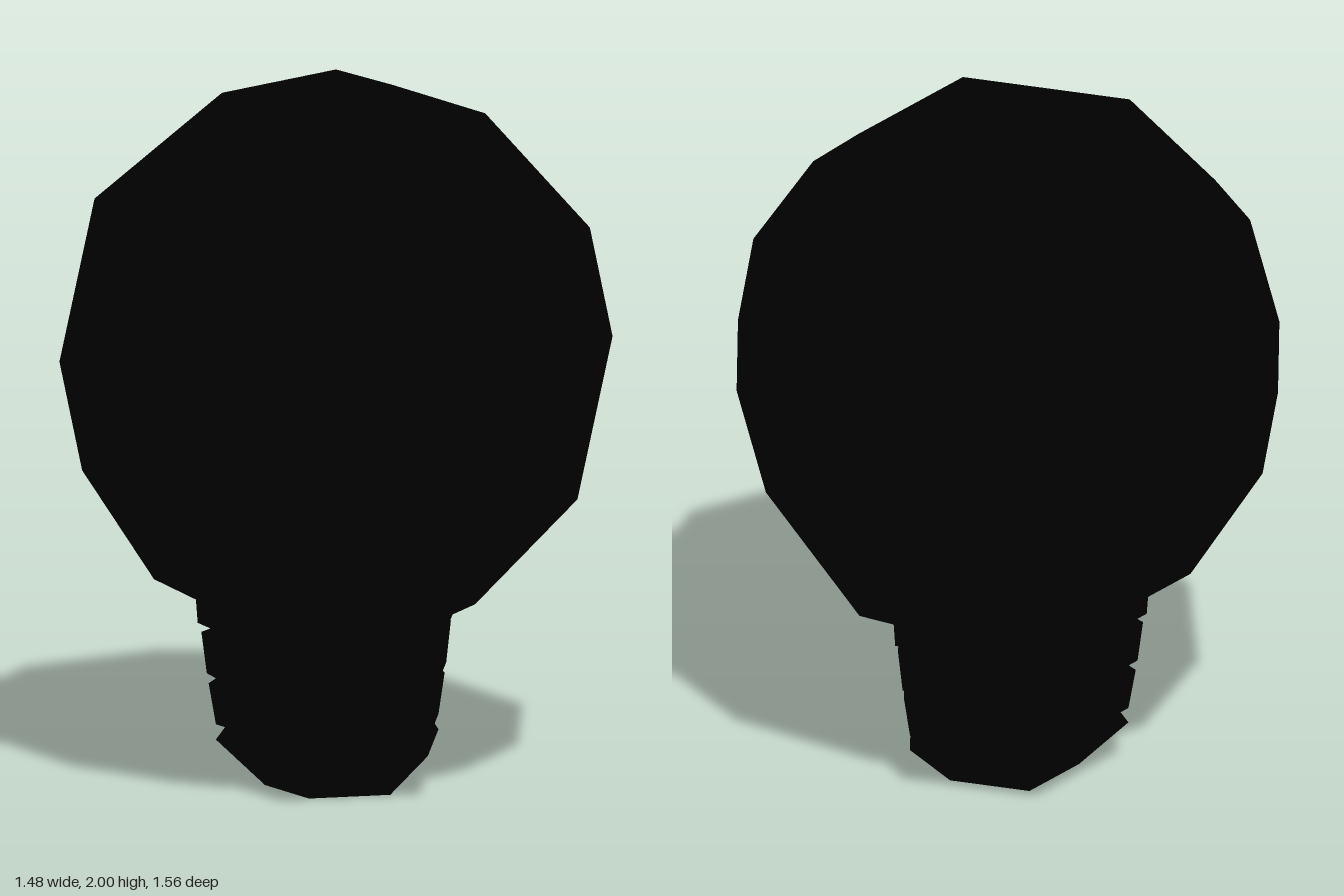
import * as THREE from 'three';

const RADIUS = 0.78, CENTRE_Y = 1.22;
const NECK_R = 0.5, NECK_Y = 0.57;

// Faceted globe: a pole-up icosphere, open at the bottom where the neck joins
function globeGeometry() {
  const sphere = new THREE.IcosahedronGeometry(RADIUS, 1);
  sphere.rotateZ(-Math.atan2(2, 1 + Math.sqrt(5)));
  sphere.translate(0, CENTRE_Y, 0);
  const source = sphere.attributes.position;
  const kept = [];
  for (let i = 0; i < source.count; i += 3) {
    const corners = [0, 1, 2].map(k => new THREE.Vector3().fromBufferAttribute(source, i + k));
    // drop the five faces around the bottom pole
    if (corners.some(v => v.y < CENTRE_Y - RADIUS * 0.95)) continue;
    for (const v of corners) {
      // widen the lowest ring to meet the neck
      if (v.y < CENTRE_Y - RADIUS * 0.8) {
        const s = NECK_R / Math.hypot(v.x, v.z);
        v.set(v.x * s, NECK_Y, v.z * s);
      }
      kept.push(v.x, v.y, v.z);
    }
  }
  const geometry = new THREE.BufferGeometry();
  geometry.setAttribute('position', new THREE.Float32BufferAttribute(kept, 3));
  geometry.computeVertexNormals();
  return geometry;
}

// Five-sided turned part with a corner towards -x; profile runs bottom to top
function pentagonLathe(profile) {
  const points = profile.map(([r, y]) => new THREE.Vector2(r, y));
  return new THREE.LatheGeometry(points, 5, -Math.PI / 2);
}

export function createModel() {
  const group = new THREE.Group();
  group.name = 'lightBulb';
  const material = new THREE.MeshStandardMaterial({ color: 0x000000, flatShading: true });

  const add = (name, geometry) => {
    const mesh = new THREE.Mesh(geometry, material);
    mesh.name = name;
    group.add(mesh);
  };

  add('globe', globeGeometry());

  // Collar between globe and socket
  add('neck', pentagonLathe([[0.385, 0.515], [NECK_R, NECK_Y]]));

  // Grooved screw base with a tapered foot
  add('screwBase', pentagonLathe([
    [0, 0], [0.195, 0], [0.33, 0.125],
    [0.305, 0.16], [0.33, 0.168],
    [0.35, 0.282], [0.33, 0.296], [0.355, 0.31],
    [0.37, 0.425], [0.345, 0.435], [0.38, 0.45],
    [0.385, 0.515],
  ]));

  return group;
}
